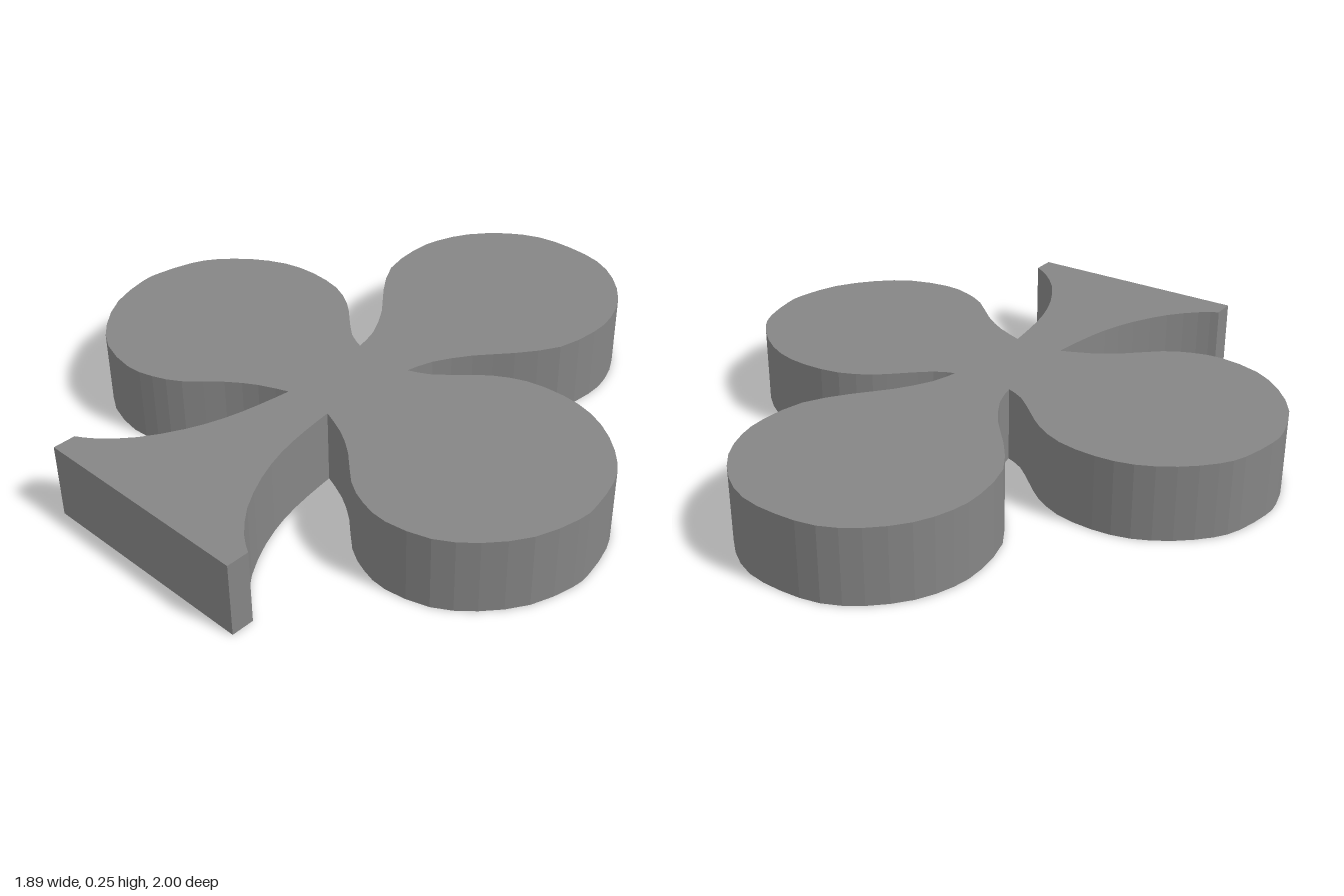
import * as THREE from 'three';

const HEIGHT = 0.25;

// Right half of the outline as [x, z], one list per smooth run between cusps
const topLobe = [[0, -1], [0.13, -0.985], [0.24, -0.925], [0.335, -0.825], [0.387, -0.71], [0.4, -0.6],
  [0.375, -0.45], [0.29, -0.32], [0.2, -0.215], [0.13, -0.1], [0.105, -0.01]];
const sideLobe = [[0.105, -0.01], [0.17, -0.04], [0.25, -0.11], [0.32, -0.17], [0.42, -0.22], [0.55, -0.235],
  [0.67, -0.215], [0.78, -0.155], [0.87, -0.07], [0.915, 0.01], [0.943, 0.13], [0.943, 0.21], [0.9, 0.35],
  [0.81, 0.47], [0.7, 0.55], [0.56, 0.582], [0.46, 0.565], [0.37, 0.52], [0.27, 0.43], [0.18, 0.37], [0.085, 0.33]];
const stem = [[0.085, 0.33], [0.1, 0.44], [0.125, 0.56], [0.17, 0.68], [0.24, 0.8], [0.32, 0.885], [0.38, 0.925]];

const mirror = (run) => run.map(([x, z]) => [-x, z]).reverse();

// Smooth run through the given points, in shape space (y = -z)
function smooth(run) {
  const points = run.map(([x, z]) => new THREE.Vector2(x, -z));
  return new THREE.SplineCurve(points).getPoints((run.length - 1) * 2);
}

function createOutline() {
  const fullTop = [...mirror(topLobe), ...topLobe.slice(1)];
  const points = [
    ...smooth(fullTop),
    ...smooth(sideLobe).slice(1),
    ...smooth(stem).slice(1),
    // straight foot
    new THREE.Vector2(0.38, -1),
    new THREE.Vector2(-0.38, -1),
    ...smooth(mirror(stem)),
    ...smooth(mirror(sideLobe)).slice(1, -1),
  ];
  return new THREE.Shape(points);
}

export function createModel() {
  const group = new THREE.Group();
  group.name = 'clubSuit';

  // Flat slab with the three-lobed outline, laid down on the ground
  const geometry = new THREE.ExtrudeGeometry(createOutline(), { depth: HEIGHT, bevelEnabled: false });
  geometry.rotateX(-Math.PI / 2);
  const body = new THREE.Mesh(geometry, new THREE.MeshStandardMaterial({ color: 0x858585, flatShading: true }));
  body.name = 'clubBody';
  group.add(body);
  return group;
}
